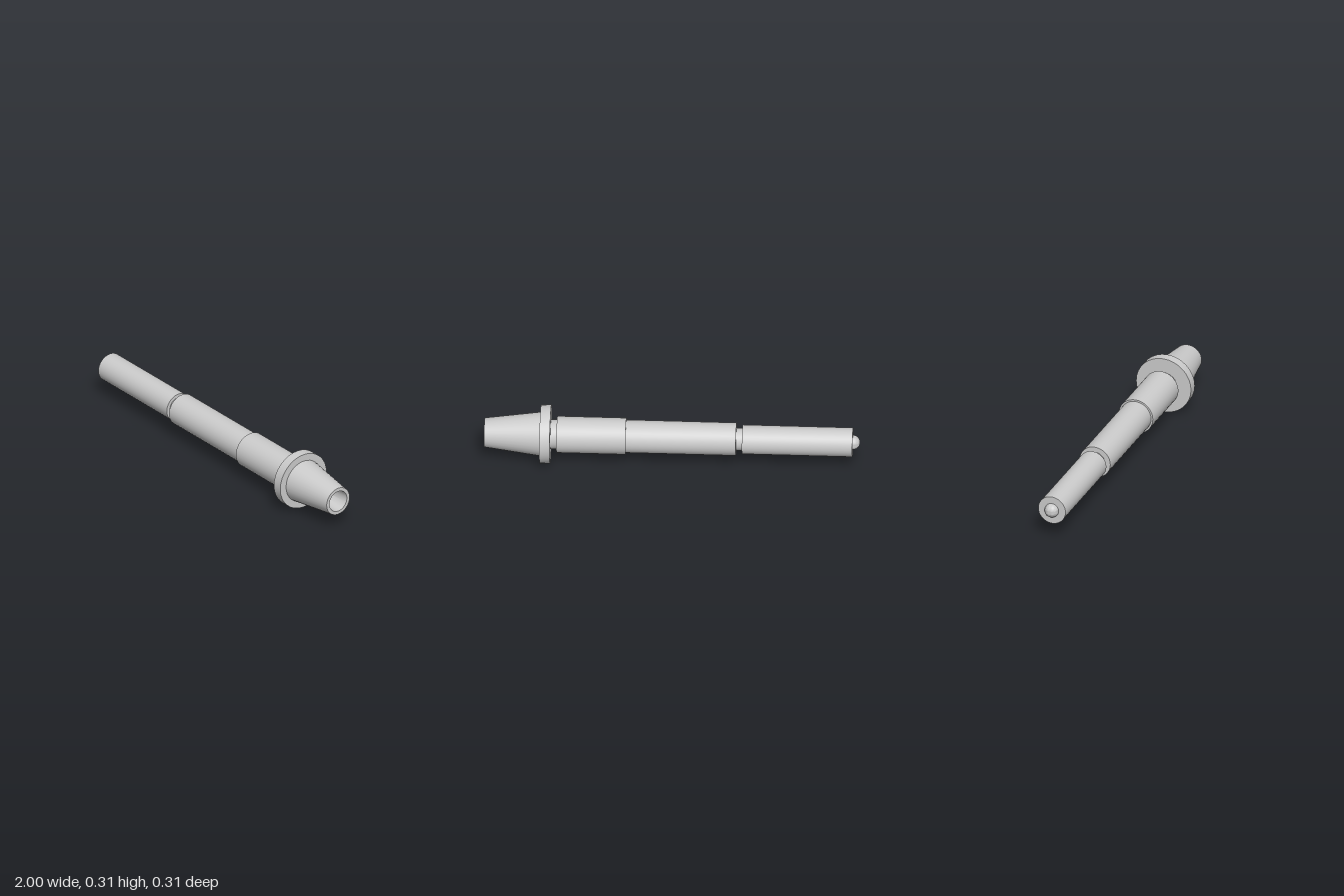
import * as THREE from 'three';
import { toCreasedNormals } from 'three/addons/utils/BufferGeometryUtils.js';

const SIDES = 32;
const R = { tip: 0.039, shank: 0.078, groove: 0.059, body: 0.088, collar: 0.098, neck: 0.078, flange: 0.157, cone: 0.118, nose: 0.078, bore: 0.059, boreEnd: 0.02 };

export function createModel() {
  const group = new THREE.Group();
  group.name = 'steppedSpindle';
  const material = new THREE.MeshStandardMaterial({ color: 0xcccccc });

  // Turn a profile of [position along x, radius] points around the shaft axis
  const turn = (name, profile) => {
    const points = profile.map(([x, r]) => new THREE.Vector2(r, x));
    const geometry = toCreasedNormals(new THREE.LatheGeometry(points, SIDES), 0.6);
    geometry.rotateZ(-Math.PI / 2);
    const mesh = new THREE.Mesh(geometry, material);
    mesh.name = name;
    mesh.position.y = R.flange;
    group.add(mesh);
  };

  // Rounded tip at the thin end
  const dome = [];
  for (let i = 0; i <= 8; i++) {
    const a = (i / 8) * Math.PI / 2;
    dome.push([-0.961 - 0.039 * Math.cos(a), R.tip * Math.sin(a)]);
  }
  turn('roundedTip', dome);

  // Stepped shaft, each part with its exposed shoulders
  turn('shank', [[-0.961, R.tip], [-0.961, R.shank], [-0.373, R.shank], [-0.373, R.groove]]);
  turn('groove', [[-0.373, R.groove], [-0.341, R.groove]]);
  turn('shaftBody', [[-0.341, R.groove], [-0.341, R.body], [0.246, R.body]]);
  turn('collar', [[0.246, R.body], [0.246, R.collar], [0.614, R.collar], [0.614, R.neck]]);
  turn('neck', [[0.614, R.neck], [0.647, R.neck]]);
  turn('flange', [[0.647, R.neck], [0.647, R.flange], [0.702, R.flange], [0.702, R.cone]]);

  // Tapered nose with a narrowing bore
  turn('taperedNose', [[0.702, R.cone], [1, R.nose], [1, R.bore]]);
  turn('bore', [[1, R.bore], [0.702, R.boreEnd], [0.702, 0]]);

  return group;
}
